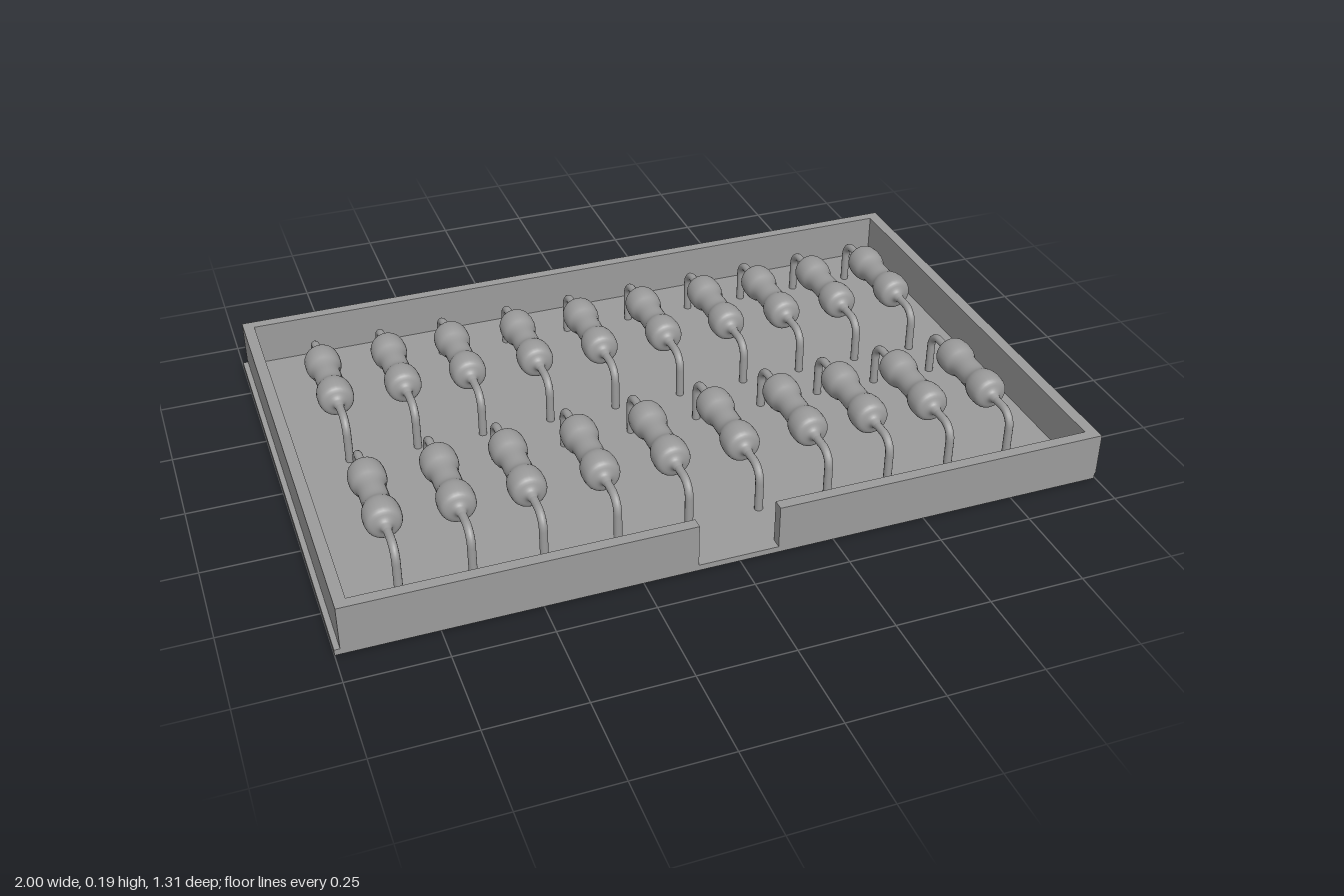
import * as THREE from 'three';

const material = new THREE.MeshStandardMaterial({ color: 0x9b9b9b });

function addMesh(parent, name, geometry) {
  const mesh = new THREE.Mesh(geometry, material);
  mesh.name = name;
  parent.add(mesh);
  return mesh;
}

// Rim with an open slot in the front side, drawn in plan (shape y = -z)
function wallGeometry() {
  const outline = [
    [-0.108, 0.655], [-0.986, 0.655], [-0.986, -0.656], [1, -0.656], [1, 0.655], [0.102, 0.655],
    [0.102, 0.625], [0.968, 0.625], [0.968, -0.626], [-0.956, -0.626], [-0.956, 0.625], [-0.108, 0.625],
  ];
  const shape = new THREE.Shape(outline.map(([x, z]) => new THREE.Vector2(x, -z)));
  return new THREE.ExtrudeGeometry(shape, { depth: 0.119, bevelEnabled: false }).rotateX(-Math.PI / 2);
}

// Dumbbell body: two rounded bulges joined by a narrower waist
function bodyGeometry() {
  const half = [
    [0.036, 0], [0.036, 0.025], [0.039, 0.042], [0.045, 0.056], [0.048, 0.072], [0.048, 0.092],
    [0.045, 0.109], [0.037, 0.118], [0.024, 0.123], [0.015, 0.13], [0.011, 0.145],
  ];
  const lower = half.slice(1).reverse().map(([r, y]) => [r, -y]);
  const curve = new THREE.SplineCurve([...lower, ...half].map(([r, y]) => new THREE.Vector2(r, y)));
  return new THREE.LatheGeometry(curve.getPoints(48), 24).rotateX(Math.PI / 2);
}

// Wire lead that leaves the body, bends and drops to the floor
function leadGeometry(axisY, floorY) {
  const reach = 0.217, bend = 0.04, drop = floorY - axisY;
  const v = (y, z) => new THREE.Vector3(0, y, z);
  const path = new THREE.CurvePath();
  path.add(new THREE.LineCurve3(v(0, 0.12), v(0, reach - bend)));
  path.add(new THREE.CubicBezierCurve3(
    v(0, reach - bend), v(0, reach - bend * 0.45), v(-bend * 0.45, reach), v(-bend, reach)));
  path.add(new THREE.LineCurve3(v(-bend, reach), v(drop, reach)));
  return new THREE.TubeGeometry(path, 32, 0.011, 12);
}

export function createModel() {
  const model = new THREE.Group();
  model.name = 'componentTray';

  // Tray
  addMesh(model, 'basePlate', new THREE.BoxGeometry(1.997, 0.016, 1.296)).position.set(-0.0015, 0.008, 0.007);
  addMesh(model, 'trayWall', wallGeometry()).position.y = 0.015;

  // Two rows of ten resistors
  const axisY = 0.138;
  const body = bodyGeometry();
  const lead = leadGeometry(axisY, 0.012);
  const columns = [-0.812, -0.629, -0.45, -0.26, -0.073, 0.116, 0.306, 0.477, 0.651, 0.825];
  for (const z of [-0.281, 0.278]) {
    for (const x of columns) {
      const resistor = new THREE.Group();
      resistor.name = 'resistor';
      resistor.position.set(x, axisY, z);
      addMesh(resistor, 'resistorBody', body);
      addMesh(resistor, 'frontLead', lead);
      addMesh(resistor, 'backLead', lead).rotation.y = Math.PI;
      model.add(resistor);
    }
  }
  return model;
}
